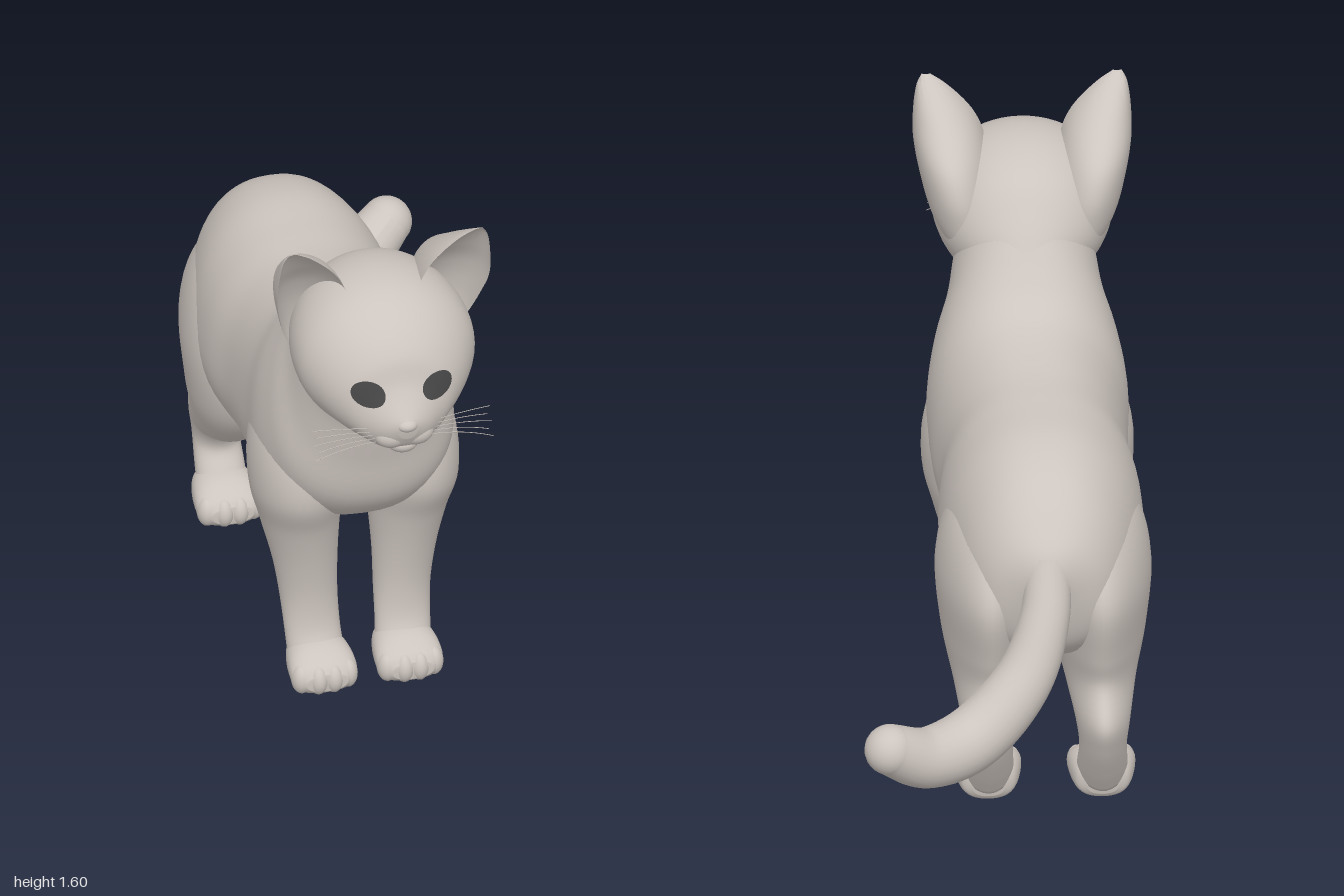
import * as THREE from 'three';
import { toCreasedNormals } from 'three/addons/utils/BufferGeometryUtils.js';

const fur = new THREE.MeshStandardMaterial({ color: 0xccc4be });
fur.name = 'fur';
const eyeDark = new THREE.MeshStandardMaterial({ color: 0x464646 });
eyeDark.name = 'eyeDark';

const CX = -0.093; // middle plane of the front half
const HIND_CX = -0.11; // middle plane of the hips

// Smooth loft through oval sections [topZ, topY, bottomZ, bottomY, halfWidth, offsetX].
// taper widens the top (front) of each ring, square < 1 fills out its corners,
// and a negative bulge turns the top half into a hollow.
function loft(sections, { cx = CX, side = 1, bulge = 1, taper = 0, square = 1, around = 40 } = {}) {
  const top = new THREE.CatmullRomCurve3(sections.map(s => new THREE.Vector3(s[4], s[1], s[0])));
  const bottom = new THREE.CatmullRomCurve3(
    sections.map(s => new THREE.Vector3(cx + side * (s[5] || 0), s[3], s[2])));
  const rings = (sections.length - 1) * 6;
  const pos = [], index = [];
  const fill = u => Math.sign(u) * Math.abs(u) ** square;
  for (let i = 0; i <= rings; i++) {
    const a = top.getPoint(i / rings), b = bottom.getPoint(i / rings);
    const y = (a.y + b.y) / 2, z = (a.z + b.z) / 2;
    for (let j = 0; j < around; j++) {
      const t = (j / around) * Math.PI * 2;
      const s = fill(Math.sin(t)), up = s * (s > 0 ? bulge : 1);
      pos.push(b.x + a.x * fill(Math.cos(t)) * (1 + taper * s), y + (a.y - y) * up, z + (a.z - z) * up);
    }
  }
  for (let i = 0; i < rings; i++) {
    for (let j = 0; j < around; j++) {
      const a = i * around + j, b = i * around + (j + 1) % around;
      index.push(a, b, a + around, b, b + around, a + around);
    }
  }
  // end caps
  for (const i of [0, rings]) {
    const c = pos.length / 3, sum = [0, 0, 0];
    for (let j = 0; j < around; j++) {
      for (let n = 0; n < 3; n++) sum[n] += pos[(i * around + j) * 3 + n] / around;
    }
    pos.push(...sum);
    for (let j = 0; j < around; j++) {
      const a = i * around + j, b = i * around + (j + 1) % around;
      if (i === 0) index.push(c, b, a); else index.push(c, a, b);
    }
  }
  const g = new THREE.BufferGeometry();
  g.setAttribute('position', new THREE.Float32BufferAttribute(pos, 3));
  g.setIndex(index);
  g.computeVertexNormals();
  return g;
}

export function createModel() {
  const cat = new THREE.Group();
  cat.name = 'cat';
  const add = (name, geometry, material = fur) => {
    const mesh = new THREE.Mesh(geometry, material);
    mesh.name = name;
    cat.add(mesh);
    return mesh;
  };
  const blob = (name, x, y, z, rx, ry, rz) =>
    add(name, new THREE.SphereGeometry(1, 24, 16).scale(rx, ry, rz).translate(x, y, z));

  // torso, from rump to neck
  add('torso', loft([
    [-0.63, 0.80, -0.60, 0.72, 0.03, -0.017],
    [-0.615, 0.86, -0.59, 0.64, 0.085, -0.017],
    [-0.57, 0.92, -0.55, 0.55, 0.16, -0.017],
    [-0.45, 1.02, -0.45, 0.47, 0.225, -0.017],
    [-0.30, 1.07, -0.25, 0.43, 0.268, -0.017],
    [-0.12, 1.078, -0.10, 0.437, 0.275, -0.015],
    [0.03, 1.085, 0.05, 0.443, 0.258, -0.01],
    [0.20, 1.12, 0.22, 0.45, 0.265, 0],
    [0.27, 1.16, 0.45, 0.51, 0.272, 0],
    [0.32, 1.21, 0.595, 0.64, 0.25, 0],
    [0.37, 1.27, 0.64, 0.82, 0.212, 0],
    [0.43, 1.34, 0.68, 0.97, 0.19, 0],
    [0.52, 1.38, 0.74, 1.05, 0.165, 0],
  ], { around: 56, taper: -0.1, square: 0.88 }));

  // head, from nape to muzzle
  const head = add('head', loft([
    [0.34, 1.23, 0.48, 1.12, 0.10],
    [0.41, 1.325, 0.56, 1.04, 0.18],
    [0.50, 1.415, 0.63, 1.01, 0.225],
    [0.62, 1.455, 0.70, 1.015, 0.248],
    [0.74, 1.45, 0.77, 1.02, 0.245],
    [0.835, 1.405, 0.83, 1.03, 0.21],
    [0.905, 1.33, 0.88, 1.035, 0.16],
    [0.935, 1.25, 0.93, 1.045, 0.108],
    [0.975, 1.185, 0.96, 1.075, 0.06],
    [0.988, 1.165, 0.98, 1.11, 0.025],
  ], { around: 56 }));
  blob('nose', CX, 1.152, 0.972, 0.03, 0.02, 0.026);
  blob('chin', CX, 1.065, 0.92, 0.045, 0.03, 0.04);

  const ray = new THREE.Raycaster();
  const backward = new THREE.Vector3(0, 0, -1);

  for (const side of [-1, 1]) {
    const label = side > 0 ? 'left' : 'right';
    const at = off => CX + side * off;

    // ear: hollow in front, its back sloping into the skull [y, rimZ, depth, halfWidth, offset]
    const ear = [
      [1.60, 0.744, 0.006, 0.012, 0.260],
      [1.575, 0.737, 0.035, 0.038, 0.247],
      [1.50, 0.725, 0.125, 0.080, 0.216],
      [1.42, 0.710, 0.205, 0.098, 0.198],
      [1.34, 0.675, 0.20, 0.098, 0.182],
      [1.25, 0.635, 0.155, 0.088, 0.165],
      [1.15, 0.60, 0.10, 0.06, 0.14],
    ].map(([y, z, d, w, off]) => [z + d, y, z - d, y, w, off]);
    add(label + 'Ear', toCreasedNormals(loft(ear, { side, bulge: -0.5 }), 1.1));

    // eye: a thin oval laid on the face
    const eye = new THREE.RingGeometry(0.0005, 1, 32, 5).scale(0.045, 0.037, 1).rotateZ(side * 0.15);
    const p = eye.attributes.position;
    for (let i = 0; i < p.count; i++) {
      const x = at(0.097) + p.getX(i), y = 1.236 + p.getY(i);
      ray.set(new THREE.Vector3(x, y, 2), backward);
      p.setXYZ(i, x, y, ray.intersectObject(head)[0].point.z + 0.005);
    }
    eye.computeVertexNormals();
    add(label + 'Eye', eye, eyeDark);

    // muzzle pad and whiskers
    blob(label + 'MuzzlePad', at(0.034), 1.102, 0.933, 0.05, 0.04, 0.04);
    for (let i = 0; i < 5; i++) {
      const y = 1.085 + i * 0.01;
      const curve = new THREE.QuadraticBezierCurve3(
        new THREE.Vector3(at(0.06), y, 0.94),
        new THREE.Vector3(at(0.15), y + 0.012, 0.95 - i * 0.005),
        new THREE.Vector3(at(0.25 - 0.01 * (i % 2)), 1.05 + i * 0.018, 0.94 - i * 0.01));
      add(label + 'Whisker', new THREE.TubeGeometry(curve, 10, 0.001, 5));
    }

    // front leg, from shoulder to wrist
    add(label + 'FrontLeg', loft([
      [0.42, 0.98, 0.26, 0.96, 0.05, 0.10],
      [0.50, 0.88, 0.20, 0.86, 0.10, 0.13],
      [0.55, 0.76, 0.17, 0.74, 0.125, 0.155],
      [0.56, 0.62, 0.20, 0.58, 0.126, 0.161],
      [0.515, 0.50, 0.24, 0.45, 0.107, 0.150],
      [0.48, 0.36, 0.30, 0.33, 0.088, 0.138],
      [0.465, 0.24, 0.335, 0.21, 0.079, 0.130],
      [0.472, 0.15, 0.375, 0.12, 0.077, 0.126],
      [0.50, 0.09, 0.39, 0.05, 0.078, 0.122],
    ], { side }));

    // hind leg, from hip to ankle
    add(label + 'HindLeg', loft([
      [-0.18, 0.96, -0.40, 0.94, 0.06, 0.11],
      [-0.10, 0.83, -0.52, 0.82, 0.115, 0.142],
      [-0.05, 0.66, -0.59, 0.68, 0.14, 0.150],
      [-0.09, 0.47, -0.555, 0.50, 0.126, 0.150],
      [-0.235, 0.31, -0.535, 0.41, 0.094, 0.152],
      [-0.36, 0.24, -0.592, 0.31, 0.072, 0.155],
      [-0.39, 0.18, -0.565, 0.22, 0.063, 0.155],
      [-0.365, 0.13, -0.505, 0.11, 0.066, 0.155],
      [-0.33, 0.08, -0.46, 0.04, 0.068, 0.155],
    ], { cx: HIND_CX, side, taper: 0.25 }));

    // paws with four toes each
    for (const [name, cx, off, z] of [['FrontPaw', CX, 0.12, 0], ['HindPaw', HIND_CX, 0.155, -0.835]]) {
      add(label + name, loft([
        [0.39 + z, 0.07, 0.395 + z, 0.02, 0.04, off],
        [0.41 + z, 0.12, 0.41 + z, 0.003, 0.074, off],
        [0.49 + z, 0.122, 0.49 + z, 0, 0.092, off],
        [0.55 + z, 0.094, 0.55 + z, 0.003, 0.087, off],
        [0.572 + z, 0.07, 0.572 + z, 0.02, 0.055, off],
      ], { cx, side, square: 0.85 }));
      for (let i = 0; i < 4; i++) {
        const u = i - 1.5;
        blob(label + name + 'Toe', cx + side * off + u * 0.043, 0.047, 0.55 + z - 0.008 * u * u,
          0.028, 0.044, 0.035);
      }
    }
  }

  // tail, a tube whose rings swell toward the lower bend
  const path = new THREE.CatmullRomCurve3([
    [-0.11, 0.84, -0.56], [-0.10, 0.70, -0.63], [-0.04, 0.545, -0.70],
    [0.10, 0.415, -0.785], [0.23, 0.403, -0.868], [0.333, 0.468, -0.93],
  ].map(p => new THREE.Vector3(...p)));
  const seg = 40, sides = 24;
  const tail = new THREE.TubeGeometry(path, seg, 1, sides);
  const tp = tail.attributes.position, v = new THREE.Vector3();
  for (let i = 0; i < tp.count; i++) {
    const u = Math.floor(i / (sides + 1)) / seg;
    const c = path.getPointAt(u);
    const radius = 0.062 + 0.008 * u + 0.022 * Math.sin(Math.PI * u ** 1.6);
    v.fromBufferAttribute(tp, i).sub(c).multiplyScalar(radius).add(c);
    tp.setXYZ(i, v.x, v.y, v.z);
  }
  tail.computeVertexNormals();
  add('tail', tail);
  blob('tailTip', 0.333, 0.468, -0.93, 0.07, 0.07, 0.07);

  return cat;
}
